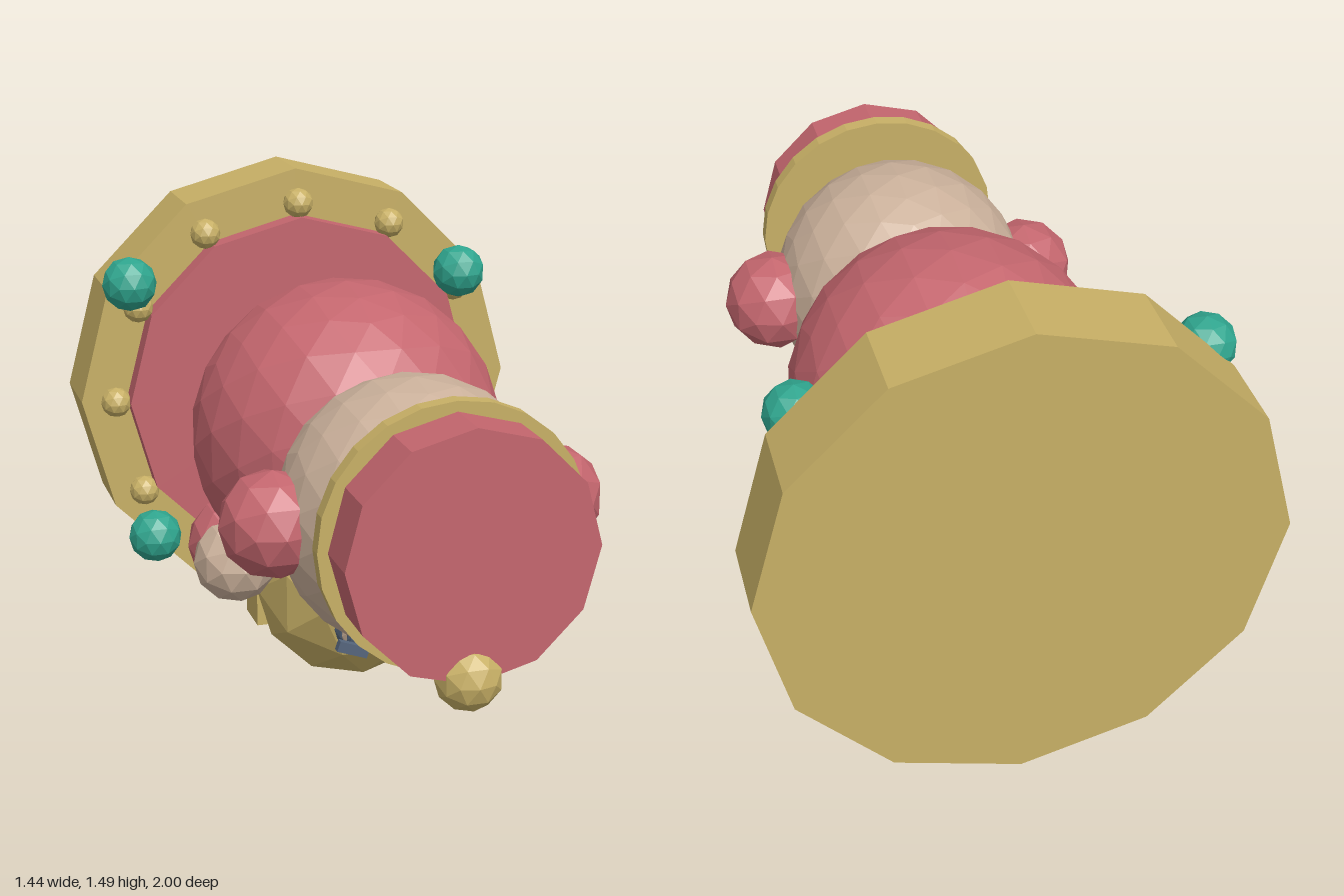
import * as THREE from 'three';

const mat = (name, color) => {
  const m = new THREE.MeshStandardMaterial({ color });
  m.name = name;
  return m;
};

// Faceted copy of a geometry
function facet(geometry) {
  const g = geometry.index ? geometry.toNonIndexed() : geometry;
  g.computeVertexNormals();
  return g;
}

export function createModel() {
  const gold = mat('gold', 0xc8b066);
  const red = mat('rose red', 0xc4666e);
  const skin = mat('beige', 0xcbb19b);
  const teal = mat('teal', 0x2fa58e);
  const slate = mat('slate blue', 0x55657c);

  const model = new THREE.Group();
  model.name = 'figurine';
  // The figure is built upright, facing +z, then laid along z face down
  const figure = new THREE.Group();
  figure.name = 'layingFigure';
  figure.rotation.x = Math.PI / 2;
  figure.position.set(0, 0.775, -1);
  model.add(figure);

  function add(name, geometry, material, x, y, z) {
    const mesh = new THREE.Mesh(facet(geometry), material);
    mesh.name = name;
    mesh.position.set(x, y, z);
    figure.add(mesh);
    return mesh;
  }
  const ball = (name, r, detail, material, x, y, z) =>
    add(name, new THREE.IcosahedronGeometry(r, detail), material, x, y, z);
  const disc = (name, r, bottom, top, sides, material) =>
    add(name, new THREE.CylinderGeometry(r, r, top - bottom, sides), material, 0, (bottom + top) / 2, 0);

  // Round stand with a ring of beads
  disc('stand', 0.722, 0, 0.245, 12, gold);
  disc('standTop', 0.575, 0.24, 0.315, 12, red);
  for (let i = 0; i < 12; i++) {
    const a = (i * Math.PI) / 6;
    ball('bead', 0.049, 1, gold, Math.sin(a) * 0.615, 0.272, Math.cos(a) * 0.615);
  }
  for (const [x, z] of [[-0.565, -0.395], [0.537, -0.365], [-0.51, 0.455], [0.537, 0.455]]) {
    ball('gem', 0.087, 1, teal, x, 0.312, z);
  }

  // Body and the gold pot held against it
  ball('body', 0.475, 3, red, 0, 0.805, 0);
  ball('pot', 0.297, 1, gold, 0, 0.825, 0.475);
  add('potBar', new THREE.BoxGeometry(0.56, 0.135, 0.27), gold, 0, 0.692, 0.49);

  // Head
  ball('head', 0.392, 3, skin, 0, 1.46, 0.04);

  // Hat with brim and bobble
  disc('hatBrim', 0.378, 1.755, 1.8, 24, gold);
  disc('hat', 0.349, 1.795, 1.95, 12, red);
  ball('bobble', 0.094, 1, gold, 0, 1.906, 0.343);

  // Mirrored parts
  for (const s of [-1, 1]) {
    ball('ear', 0.153, 1, red, s * 0.404, 1.452, 0.032);
    ball('cuff', 0.143, 1, red, s * 0.355, 0.775, 0.33);
    ball('hand', 0.13, 1, skin, s * 0.372, 0.868, 0.352);
    ball('eye', 0.036, 1, slate, s * 0.17, 1.49, 0.385);
    const brow = add('brow', new THREE.BoxGeometry(0.09, 0.022, 0.03), slate, s * 0.215, 1.575, 0.375);
    brow.rotation.y = s * 0.35;
    ball('cheek', 0.06, 1, skin, s * 0.135, 1.405, 0.41);
    ball('moustacheInner', 0.05, 1, slate, s * 0.08, 1.36, 0.442);
    ball('moustacheOuter', 0.052, 1, slate, s * 0.14, 1.322, 0.425);
  }
  ball('nose', 0.068, 1, skin, 0, 1.4, 0.437);

  return model;
}
